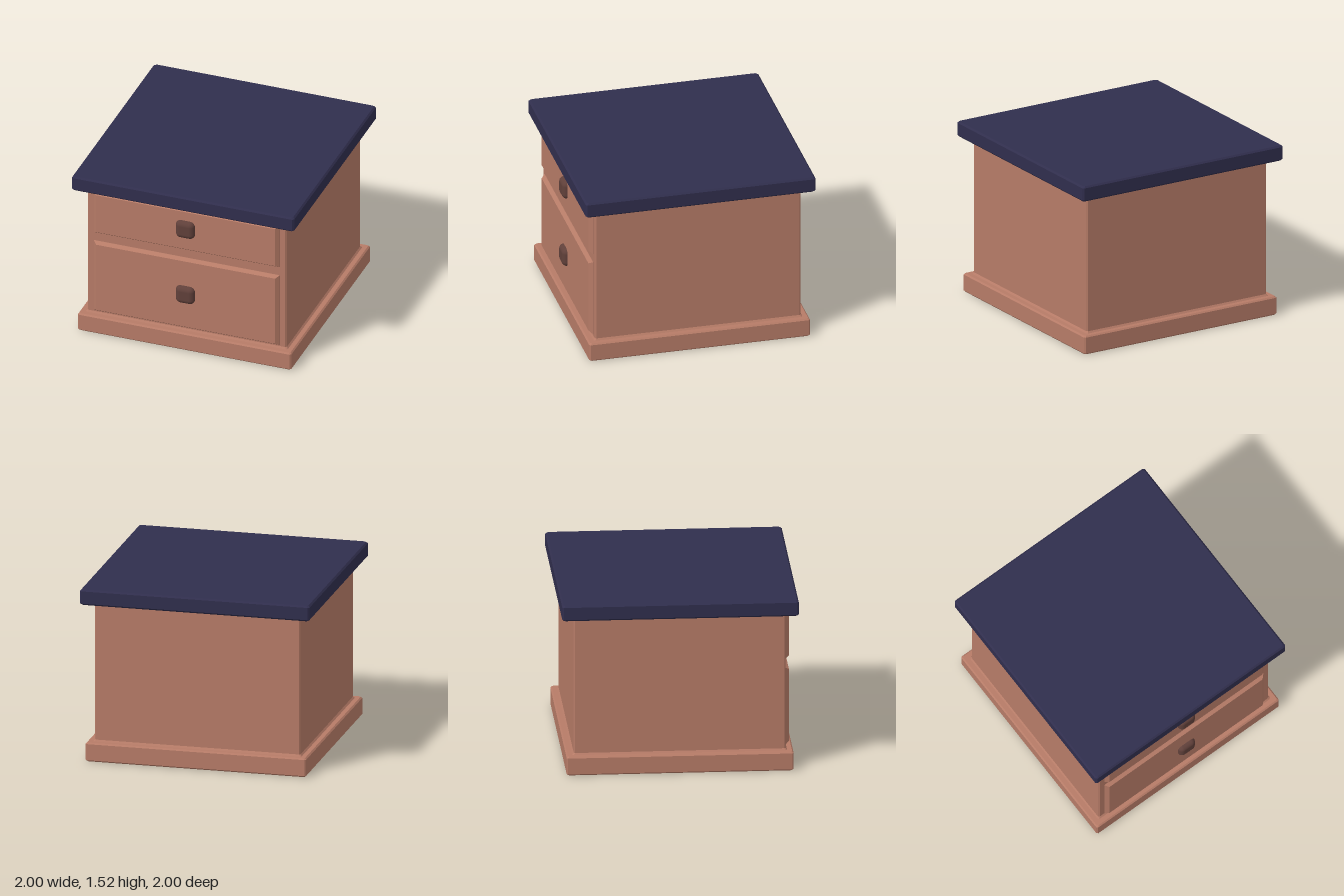
import * as THREE from 'three';
import { RoundedBoxGeometry } from 'three/addons/geometries/RoundedBoxGeometry.js';

// Rectangular ring with corners cut by c, running from +z towards +x
function ring([y, w, d, c]) {
  const pts = c > 0
    ? [[w - c, d], [w, d - c], [w, c - d], [w - c, -d], [c - w, -d], [-w, c - d], [-w, d - c], [c - w, d]]
    : [[w, d], [w, -d], [-w, -d], [-w, d]];
  return pts.map(([x, z]) => [x, y, z]);
}

// Flat-shaded solid lofted through sections [height, halfWidth, halfDepth, cornerCut]
function loft(sections) {
  const rings = sections.map(ring);
  const n = rings[0].length;
  const pos = [];
  const tri = (a, b, c) => pos.push(...a, ...b, ...c);
  for (let k = 0; k < rings.length - 1; k++) {
    for (let i = 0; i < n; i++) {
      const j = (i + 1) % n, lo = rings[k], hi = rings[k + 1];
      tri(lo[i], lo[j], hi[j]);
      tri(lo[i], hi[j], hi[i]);
    }
  }
  const first = rings[0], last = rings[rings.length - 1];
  for (let i = 1; i < n - 1; i++) {
    tri(last[0], last[i], last[i + 1]);
    tri(first[0], first[i + 1], first[i]);
  }
  const geo = new THREE.BufferGeometry();
  geo.setAttribute('position', new THREE.Float32BufferAttribute(pos, 3));
  geo.computeVertexNormals();
  return geo;
}

// Square slab with all edges bevelled by b
function slab(y0, y1, half, b) {
  return loft([
    [y0, half - b, half - b, b], [y0 + b, half, half, b],
    [y1 - b, half, half, b], [y1, half - b, half - b, b],
  ]);
}

export function createModel() {
  const material = (name, color) => {
    const m = new THREE.MeshStandardMaterial({ color });
    m.name = name;
    return m;
  };
  const wood = material('warm wood', 0xb67b67);
  const navy = material('navy top', 0x302e4d);
  const dark = material('dark knob', 0x60403a);

  const model = new THREE.Group();
  model.name = 'nightstand';
  const add = (name, geo, mat, parent = model) => {
    const mesh = new THREE.Mesh(geo, mat);
    mesh.name = name;
    parent.add(mesh);
    return mesh;
  };

  // Plinth, cabinet body flaring slightly at both ends, and overhanging top
  add('plinth', slab(0, 0.165, 0.96, 0.012), wood);
  add('body', loft([
    [0.16, 0.912, 0.912, 0.012], [0.18, 0.896, 0.896, 0.012],
    [1.37, 0.896, 0.896, 0.012], [1.386, 0.912, 0.912, 0.012],
  ]), wood);
  add('top', slab(1.384, 1.52, 1, 0.014), navy);

  // Drawers: bevelled front panel with a soft square knob
  const drawers = [['upperDrawer', 0.955, 1.36, 1.172], ['lowerDrawer', 0.193, 0.875, 0.533]];
  for (const [name, y0, y1, knobY] of drawers) {
    const drawer = new THREE.Group();
    drawer.name = name;
    model.add(drawer);
    const h = (y1 - y0) / 2;
    const panel = add('drawerFront', loft([
      [0.88, 0.836, h, 0], [0.9, 0.836, h, 0], [0.93, 0.806, h - 0.022, 0],
    ]), wood, drawer);
    panel.rotation.x = Math.PI / 2;
    panel.position.y = (y0 + y1) / 2;
    const knob = add('knob', new RoundedBoxGeometry(0.17, 0.165, 0.1, 5, 0.045), dark, drawer);
    knob.position.set(0, knobY, 0.92);
  }
  return model;
}
